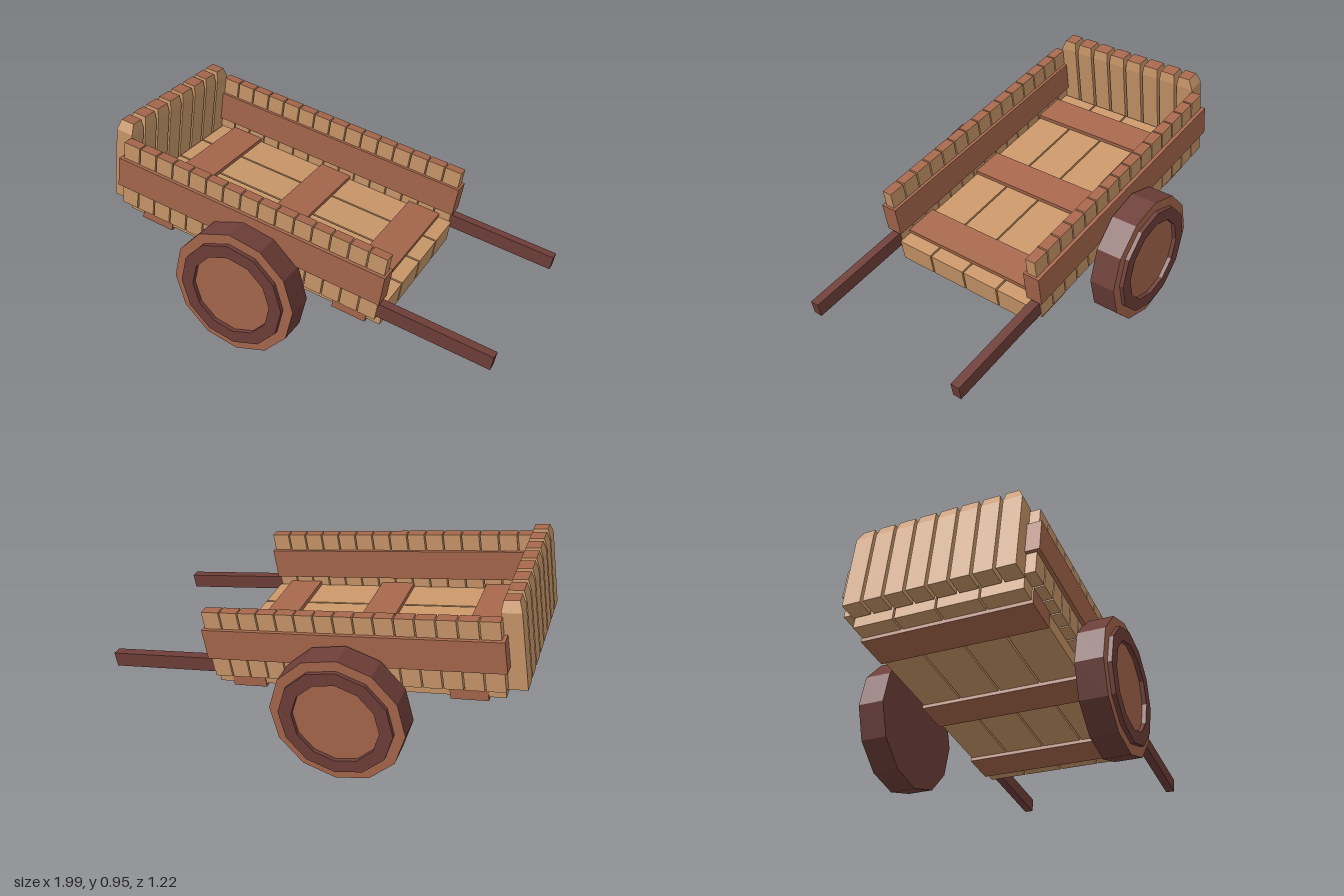
import * as THREE from 'three';

export function createModel() {
  const mat = (name, color) => {
    const m = new THREE.MeshStandardMaterial({ color });
    m.name = name;
    return m;
  };
  const wood = mat('light wood', 0xc99769);
  const brown = mat('reddish wood', 0xa6674c);
  const dark = mat('dark wood', 0x6e3e39);
  const brownTop = [wood, wood, brown, wood, wood, wood];

  const model = new THREE.Group();
  model.name = 'handCart';

  // Cart body, tilted down towards the shafts
  const body = new THREE.Group();
  body.name = 'body';
  body.rotation.z = -THREE.MathUtils.degToRad(9.6);
  body.position.z = 0.01;
  model.add(body);

  const box = (name, x0, x1, y0, y1, z0, z1, material) => {
    const mesh = new THREE.Mesh(new THREE.BoxGeometry(x1 - x0, y1 - y0, z1 - z0), material);
    mesh.position.set((x0 + x1) / 2, (y0 + y1) / 2, (z0 + z1) / 2);
    mesh.name = name;
    body.add(mesh);
    return mesh;
  };

  // Floor planks
  for (let i = 0; i < 4; i++) {
    const z = -0.395 + i * 0.1992;
    box('floorPlank', -0.98, 0.392, 0.32, 0.43, z, z + 0.1905, wood);
  }

  // Cross boards clasping the floor above and below
  for (const x of [-0.904, -0.36, 0.152]) {
    box('crossBoard', x, x + 0.17, 0.302, 0.45, -0.4, 0.4, brown);
  }

  // Sides: slats, rail and shaft
  for (const s of [-1, 1]) {
    const span = (a, b) => (s > 0 ? [a, b] : [-b, -a]);
    for (let i = 0; i < 15; i++) {
      const x = -0.994 + i * 0.092;
      box('sideSlat', x, x + 0.085, 0.38, 0.718, ...span(0.395, 0.445), brownTop);
    }
    box('sideRail', -1.01, 0.39, 0.482, 0.633, ...span(0.38, 0.4625), brown);
    box('shaft', 0.3, 0.926, 0.4, 0.471, ...span(0.398, 0.442), dark);
  }

  // Back boards with chamfered tops, cut further at the outer corners
  const backBoard = (i) => {
    const w = 0.087, x0 = -1.076, x1 = -0.988;
    const zc = (i - 3.5) * 0.1014;
    const geo = new THREE.BoxGeometry(x1 - x0, 1, w, 1, 2, 1);
    const p = geo.attributes.position;
    const cut = (side) => (i === (side > 0 ? 7 : 0) ? 0.022 : i === (side > 0 ? 6 : 1) ? 0.009 : 0.005);
    for (let k = 0; k < p.count; k++) {
      const y = p.getY(k);
      p.setY(k, y < -0.1 ? 0.366 : y < 0.1 ? 0.735 : 0.782);
      if (y > 0.1) {
        const side = Math.sign(p.getZ(k));
        p.setZ(k, p.getZ(k) - side * cut(side));
        p.setX(k, p.getX(k) * 0.76);
      }
    }
    const flat = geo.toNonIndexed();
    flat.computeVertexNormals();
    const mesh = new THREE.Mesh(flat, brownTop);
    mesh.name = 'backBoard';
    mesh.position.set((x0 + x1) / 2, 0, zc);
    body.add(mesh);
  };
  for (let i = 0; i < 8; i++) backBoard(i);

  // Twelve-sided wheels with a raised dark ring on the outer face
  const polygon = (r, Type) => {
    const pts = [];
    for (let i = 0; i < 12; i++) {
      const a = (i * Math.PI) / 6;
      pts.push(new THREE.Vector2(r * Math.cos(a), r * Math.sin(a)));
    }
    return new Type(pts);
  };
  const tyreGeo = new THREE.CylinderGeometry(0.317, 0.317, 0.128, 12).toNonIndexed();
  tyreGeo.computeVertexNormals();
  tyreGeo.rotateX(Math.PI / 2);
  const ringShape = polygon(0.268, THREE.Shape);
  ringShape.holes.push(polygon(0.205, THREE.Path));
  const ringGeo = new THREE.ExtrudeGeometry(ringShape, { depth: 0.02, bevelEnabled: false });

  for (const s of [1, -1]) {
    const wheel = new THREE.Group();
    wheel.name = s > 0 ? 'frontWheel' : 'backWheel';
    const tyre = new THREE.Mesh(tyreGeo, [dark, brown, dark]);
    tyre.name = 'wheelDisc';
    tyre.position.z = 0.526;
    const ring = new THREE.Mesh(ringGeo, dark);
    ring.name = 'wheelRing';
    ring.position.z = 0.59;
    wheel.add(tyre, ring);
    wheel.position.set(-0.215, 0.318, 0);
    if (s < 0) wheel.rotation.y = Math.PI;
    model.add(wheel);
  }

  return model;
}
